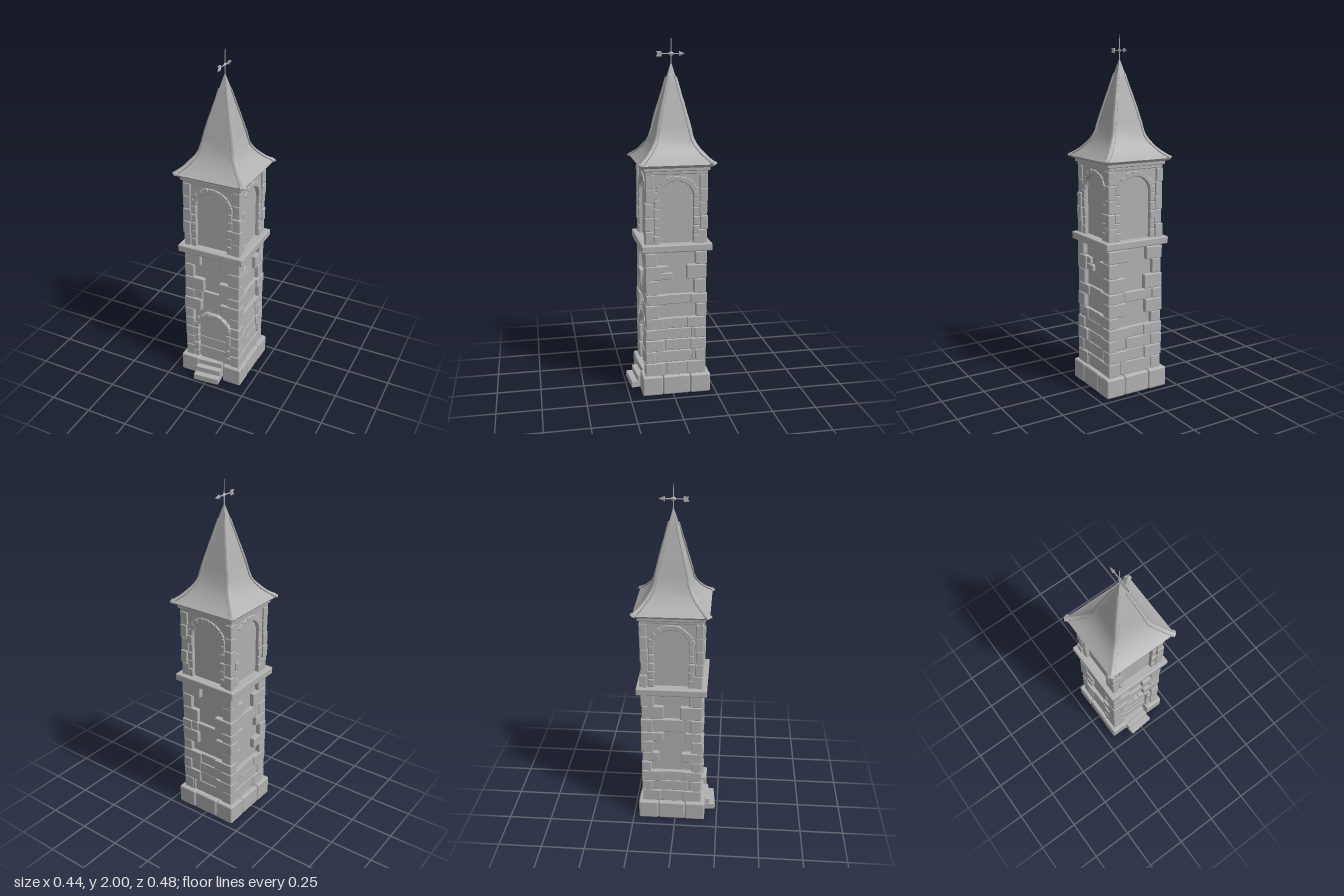
import * as THREE from 'three';
import { toCreasedNormals } from 'three/addons/utils/BufferGeometryUtils.js';
import { RoundedBoxGeometry } from 'three/addons/geometries/RoundedBoxGeometry.js';

const stoneGrey = new THREE.MeshStandardMaterial({ color: 0xb0b0b0 });
stoneGrey.name = 'stone grey';

let seed = 11;
const rand = (a, b) => {
  seed = (seed * 16807) % 2147483647;
  return a + (b - a) * (seed / 2147483647);
};

function add(parent, name, geometry, x = 0, y = 0, z = 0) {
  const mesh = new THREE.Mesh(geometry, stoneGrey);
  mesh.name = name;
  mesh.position.set(x, y, z);
  parent.add(mesh);
  return mesh;
}

// Worn block given by its low and high corners
function block(parent, name, x0, x1, y0, y1, z0, z1, r = 0.005) {
  const g = new RoundedBoxGeometry(x1 - x0, y1 - y0, z1 - z0, 2, r);
  return add(parent, name, g, (x0 + x1) / 2, (y0 + y1) / 2, (z0 + z1) / 2);
}

// Wall panel with an arched opening
function archedPanel(parent, name, half, y0, y1, z, depth, arch) {
  const s = new THREE.Shape();
  s.moveTo(-half, y0).lineTo(half, y0).lineTo(half, y1).lineTo(-half, y1).closePath();
  const h = new THREE.Path();
  h.moveTo(-arch.r, arch.bottom).lineTo(-arch.r, arch.spring);
  h.absarc(0, arch.spring, arch.r, Math.PI, 0, true);
  h.lineTo(arch.r, arch.bottom).closePath();
  s.holes.push(h);
  const g = new THREE.ExtrudeGeometry(s, { depth, bevelEnabled: false, curveSegments: 20 });
  add(parent, name, g, 0, 0, z - depth);
}

// Jamb stones and wedge stones around an opening
function archStones(parent, { r, spring, bottom }, thick, z, jambs, wedges) {
  const h = (spring - bottom) / jambs;
  for (const s of [-1, 1]) for (let i = 0; i < jambs; i++) {
    const t = thick + rand(-0.003, 0.006), x = s * (r + t / 2), y = bottom + i * h;
    block(parent, 'jambStone', x - t / 2, x + t / 2, y + 0.001, y + h - 0.001, z - 0.04, z + rand(-0.003, 0.003));
  }
  for (let i = 0; i < wedges; i++) {
    const a = ((i + 0.5) / wedges) * Math.PI, t = thick + rand(-0.002, 0.004), m = r + t / 2;
    const g = new RoundedBoxGeometry(Math.PI * (r + thick * 0.75) / wedges, t, 0.04, 2, 0.005);
    const v = add(parent, 'archStone', g, Math.cos(a) * m, spring + Math.sin(a) * m, z - 0.02);
    v.rotation.z = a - Math.PI / 2;
  }
}

const CORE = 0.148;
const COURSES = [0.112, 0.19, 0.26, 0.33, 0.395, 0.46, 0.54, 0.6, 0.685, 0.77, 0.845];
// Courses filled with wall stones on the front, left, back and right
const FILLED = [[6], [0, 1, 2, 3, 4, 6], [0, 1, 2, 3, 6], [0, 1, 2, 7]];
const DOOR = { r: 0.09, spring: 0.33, bottom: 0.105 };
const WINDOW = { r: 0.096, spring: 1.15, bottom: 0.893 };

function buildSide(k) {
  const side = new THREE.Group();
  side.name = ['frontSide', 'leftSide', 'backSide', 'rightSide'][k];
  side.rotation.y = (k * Math.PI) / 2;

  archedPanel(side, 'belfryWall', 0.15, 0.885, 1.31, 0.163, 0.03, WINDOW);
  archStones(side, WINDOW, 0.03, 0.171, 5, 9);

  // Plinth: one corner block, and a middle block except under the door
  block(side, 'plinthCorner', 0.08, 0.197, 0, rand(0.11, 0.119), 0.08, 0.197, 0.01);
  if (k) block(side, 'plinthMiddle', -0.079, 0.079, 0, rand(0.108, 0.116), 0.09, 0.195, 0.01);

  for (let i = 0; i < COURSES.length - 1; i++) {
    const y0 = COURSES[i] + 0.001, y1 = COURSES[i + 1] - 0.001;
    // Corner stones, alternating long and short, kept short beside the door
    let w = (i + k) % 2 ? rand(0.09, 0.13) : rand(0.055, 0.075);
    let d = (i + k) % 2 ? rand(0.055, 0.075) : rand(0.09, 0.13);
    if (i < 5 && k === 0) w = Math.min(w, 0.056);
    if (i < 5 && k === 3) d = Math.min(d, 0.056);
    const o = rand(0.171, 0.178);
    block(side, 'cornerStone', o - w, o, y0, y1, o - d, o);
    if (FILLED[k].includes(i)) {
      const c = (i % 2 ? 1 : -1) * rand(0.05, 0.1);
      block(side, 'wallStone', -0.15, c, y0, y1, 0.135, rand(0.164, 0.171));
      block(side, 'wallStone', c + 0.001, 0.15, y0, y1, 0.135, rand(0.164, 0.171));
    }
  }
  // Small loose bricks high on the left wall
  if (k === 1) {
    block(side, 'smallBrick', -0.12, -0.045, 0.728, 0.766, 0.14, 0.166);
    block(side, 'smallBrick', -0.1, -0.02, 0.688, 0.726, 0.14, 0.166);
  }
  // Belfry corner posts
  const n = 5, step = (1.285 - 0.893) / n;
  for (let i = 0; i < n; i++) {
    const o = rand(0.171, 0.178), a = rand(0.04, 0.052), b = rand(0.04, 0.052);
    const y = 0.893 + i * step;
    block(side, 'postStone', o - a, o, y, y + step - 0.001, o - b, o);
  }
  return side;
}

// Roof profile: half width and height
const ROOF = [[0.208, 1.338], [0.172, 1.366], [0.138, 1.402], [0.104, 1.455], [0.084, 1.54], [0.065, 1.62], [0.042, 1.71], [0.021, 1.795]];

function squareLathe(points) {
  const pts = points.map(([r, y]) => new THREE.Vector2(r * Math.SQRT2, y));
  return toCreasedNormals(new THREE.LatheGeometry(pts, 4).rotateY(Math.PI / 4), 0.6);
}

function buildRoof() {
  const roof = new THREE.Group();
  roof.name = 'roof';
  add(roof, 'roofSlopes', squareLathe([[0, 1.322], [0.19, 1.322], [0.205, 1.332], ...ROOF]));
  add(roof, 'roofCap', squareLathe([[0, 1.78], [0.027, 1.78], [0.021, 1.8], [0.003, 1.865], [0, 1.865]]));
  // Tapering ridge along each hip, broad and low
  for (let k = 0; k < 4; k++) {
    const sx = k % 2 ? 1 : -1, sz = k < 2 ? 1 : -1;
    const path = new THREE.CatmullRomCurve3(ROOF.map(([r, y]) => new THREE.Vector3(sx * r, y, sz * r)));
    const side = new THREE.Vector3(sx, 0, -sz).normalize();
    const seg = 20, rad = 6;
    const g = new THREE.TubeGeometry(path, seg, 0.009, rad);
    const p = g.attributes.position, v = new THREE.Vector3();
    for (let i = 0; i <= seg; i++) {
      const c = path.getPointAt(i / seg), s = (1 - 0.4 * (i / seg)) * rand(0.88, 1.1);
      for (let j = 0; j <= rad; j++) {
        const q = i * (rad + 1) + j;
        v.fromBufferAttribute(p, q).sub(c).multiplyScalar(s);
        v.addScaledVector(side, 1.1 * v.dot(side)).add(c);
        p.setXYZ(q, v.x, v.y, v.z);
      }
    }
    g.computeVertexNormals();
    add(roof, 'hipRidge', g);
    // Blunt end of the ridge at the eaves
    const end = add(roof, 'ridgeEnd', new RoundedBoxGeometry(0.038, 0.016, 0.02, 2, 0.004), sx * 0.198, 1.343, sz * 0.198);
    end.rotation.y = Math.atan2(sx, sz);
  }
  return roof;
}

function buildVane() {
  const vane = new THREE.Group();
  vane.name = 'weatherVane';
  vane.position.set(0, 1.917, 0);
  add(vane, 'pole', new THREE.CylinderGeometry(0.0015, 0.004, 0.15, 8), 0, 0.008, 0);
  add(vane, 'shaft', new THREE.CylinderGeometry(0.003, 0.003, 0.12, 8).rotateX(Math.PI / 2));
  add(vane, 'centreKnob', new THREE.OctahedronGeometry(0.016).scale(0.5, 0.9, 1.3));
  add(vane, 'arrowHead', new THREE.ConeGeometry(0.014, 0.034, 4).scale(0.7, 1, 1).rotateX(-Math.PI / 2), 0, 0, -0.062);
  // Notched tail plate with a small diamond running through it
  const s = new THREE.Shape();
  s.moveTo(0.05, 0).lineTo(0.054, 0.014).lineTo(0.082, 0.014).lineTo(0.075, 0);
  s.lineTo(0.082, -0.014).lineTo(0.054, -0.014).closePath();
  const g = new THREE.ExtrudeGeometry(s, { depth: 0.006, bevelEnabled: false });
  add(vane, 'arrowTail', g.translate(0, 0, -0.003).rotateY(-Math.PI / 2));
  add(vane, 'tailDiamond', new THREE.OctahedronGeometry(0.008).scale(1, 0.6, 2), 0, 0, 0.063);
  return vane;
}

export function createModel() {
  const model = new THREE.Group();
  model.name = 'bellTower';
  const tower = new THREE.Group();
  tower.name = 'tower';
  tower.position.set(0.005, 0, -0.021);
  model.add(tower);

  // Plain plastered shaft behind the stones and openings
  add(tower, 'shaftWalls', new THREE.BoxGeometry(2 * CORE, 1.22, 2 * CORE), 0, 0.7, 0);
  for (let k = 0; k < 4; k++) tower.add(buildSide(k));

  // Doorway and its low inner courses
  const doorway = new THREE.Group();
  doorway.name = 'doorway';
  archStones(doorway, DOOR, 0.03, 0.172, 4, 9);
  block(doorway, 'innerStep', -0.09, 0.09, 0.1, 0.19, 0.13, 0.156, 0.003);
  block(doorway, 'innerStep', -0.09, 0.09, 0.19, 0.26, 0.13, 0.152, 0.003);
  tower.add(doorway);

  // Ledge, cornice, roof and vane
  block(tower, 'ledge', -0.201, 0.201, 0.853, 0.896, -0.199, 0.199, 0.007);
  block(tower, 'lowerCornice', -0.174, 0.174, 1.284, 1.304, -0.174, 0.174, 0.005);
  block(tower, 'upperCornice', -0.185, 0.185, 1.302, 1.328, -0.185, 0.185, 0.006);
  tower.add(buildRoof(), buildVane());

  // Front steps, set slightly askew
  const steps = new THREE.Group();
  steps.name = 'frontSteps';
  [[0.04, 0.232], [0.075, 0.197], [0.108, 0.165]].forEach(([h, z], i) =>
    block(steps, 'step', -0.08 + i * 0.002, 0.078, 0, h, 0.06, z, 0.003));
  steps.rotation.y = 0.085;
  steps.position.x = -0.02;
  model.add(steps);
  return model;
}
